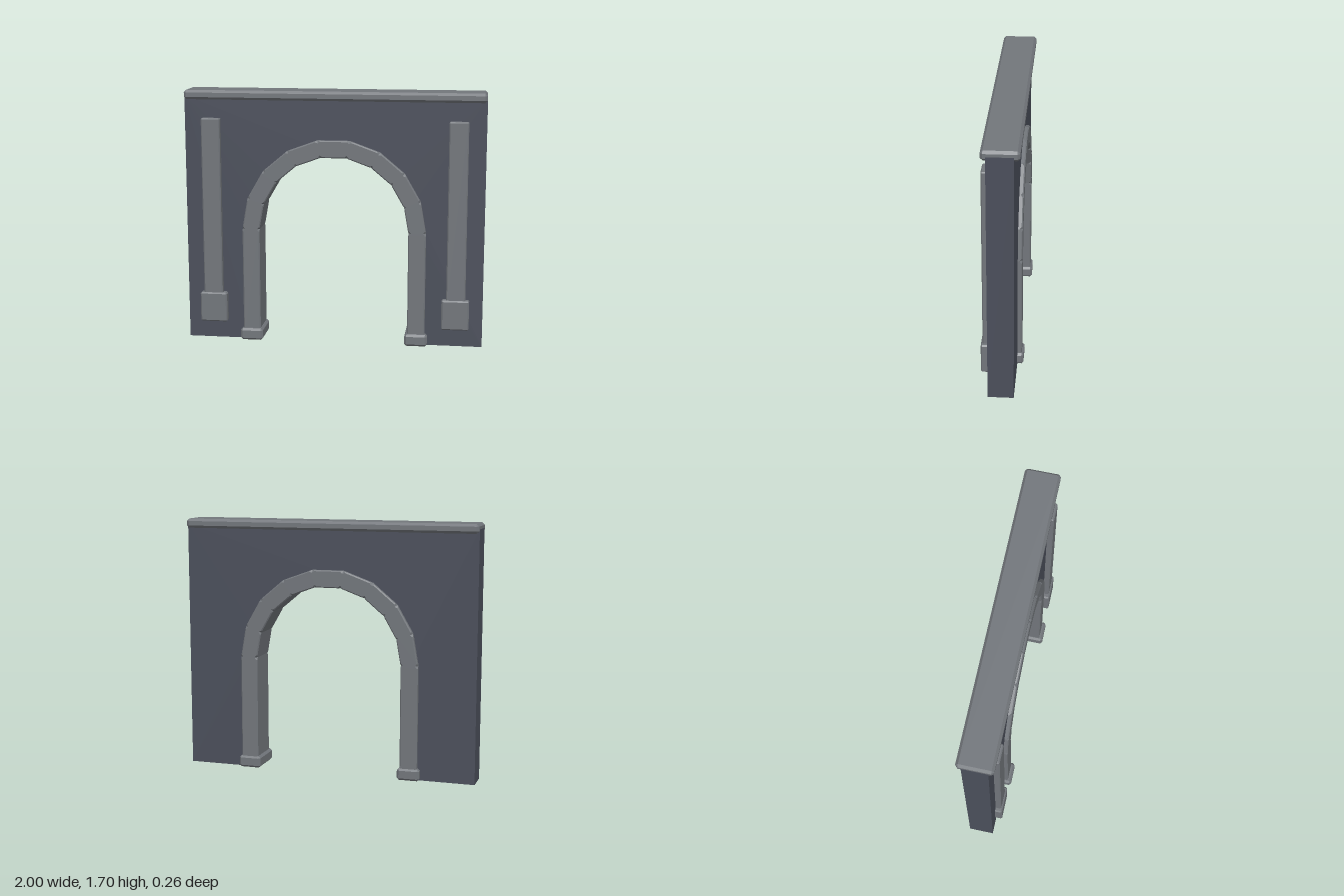
import * as THREE from 'three';
import { ConvexGeometry } from 'three/addons/geometries/ConvexGeometry.js';

const stone = new THREE.MeshStandardMaterial({ color: 0x72767b, flatShading: true });
const plaster = new THREE.MeshStandardMaterial({ color: 0x4b4f5b, flatShading: true });

const SPRING = 0.77;   // height where the arch begins
const R_IN = 0.5, R_OUT = 0.617, SEGMENTS = 9;
const Z_FRONT = 0.105, Z_BACK = -0.115;

// Box with chamfered edges, given by its min and max corners
function chamferBox(name, min, max, c) {
  const pts = [];
  const corner = (i, s, inset) => (s ? max[i] - inset : min[i] + inset);
  for (const sx of [0, 1]) for (const sy of [0, 1]) for (const sz of [0, 1]) {
    for (let flat = 0; flat < 3; flat++) {
      const inset = [c, c, c];
      inset[flat] = 0;
      pts.push(new THREE.Vector3(corner(0, sx, inset[0]), corner(1, sy, inset[1]), corner(2, sz, inset[2])));
    }
  }
  const mesh = new THREE.Mesh(new ConvexGeometry(pts), stone);
  mesh.name = name;
  return mesh;
}

// Arch stone between two joints; each joint is [inner point, outer point].
// The corners are cut deeper at the joints, leaving small notches.
function archStone(name, start, end) {
  const pts = [];
  const length = start[1].distanceTo(end[1]);
  const notch = 0.016 / length;
  for (const [t, c] of [[0, 0.018], [notch, 0.007], [1 - notch, 0.007], [1, 0.018]]) {
    const inner = start[0].clone().lerp(end[0], t);
    const outer = start[1].clone().lerp(end[1], t);
    const across = outer.clone().sub(inner).normalize();
    for (const [p, dir] of [[inner, 1], [outer, -1]]) {
      const inset = p.clone().addScaledVector(across, dir * c);
      for (const [z, s] of [[Z_FRONT, -1], [Z_BACK, 1]]) {
        pts.push(new THREE.Vector3(p.x, p.y, z + s * c));
        pts.push(new THREE.Vector3(inset.x, inset.y, z));
      }
    }
  }
  const mesh = new THREE.Mesh(new ConvexGeometry(pts), stone);
  mesh.name = name;
  return mesh;
}

const archPoint = (r, i) => {
  const a = (i / SEGMENTS) * Math.PI;
  return new THREE.Vector2(r * Math.cos(a), SPRING + r * Math.sin(a));
};

function createWall() {
  // Outline with the opening running down to the ground
  const r = (R_IN + R_OUT) / 2;
  const shape = new THREE.Shape();
  shape.moveTo(r, 0);
  shape.lineTo(1, 0);
  shape.lineTo(1, 1.665);
  shape.lineTo(-1, 1.665);
  shape.lineTo(-1, 0);
  shape.lineTo(-r, 0);
  for (let i = SEGMENTS; i >= 0; i--) {
    const p = archPoint(r, i);
    shape.lineTo(p.x, p.y);
  }
  const geo = new THREE.ExtrudeGeometry(shape, { depth: 0.165, bevelEnabled: false });
  geo.translate(0, 0, -0.087);
  const wall = new THREE.Mesh(geo, plaster);
  wall.name = 'wall';
  return wall;
}

export function createModel() {
  const model = new THREE.Group();
  model.name = 'archwayWall';
  model.add(createWall());

  // Coping along the top
  model.add(chamferBox('coping', [-0.999, 1.638, -0.122], [0.999, 1.7, 0.11], 0.016));

  // Curved part of the arch surround
  const arch = new THREE.Group();
  arch.name = 'archSurround';
  const joint = (i) => [archPoint(R_IN, i), archPoint(R_OUT, i)];
  for (let i = 0; i < SEGMENTS; i++) arch.add(archStone('archStone', joint(i), joint(i + 1)));
  model.add(arch);

  // Parts repeated on both sides
  for (const [side, s] of [['left', 1], ['right', -1]]) {
    const spanBox = (name, x0, x1, y0, y1, z0, z1, c) =>
      chamferBox(side + name, [Math.min(s * x0, s * x1), y0, z0], [Math.max(s * x0, s * x1), y1, z1], c);

    // Straight leg below the arch
    const leg = archStone(side + 'ArchLeg',
      [new THREE.Vector2(s * R_IN, 0.01), new THREE.Vector2(s * R_OUT, 0.01)],
      [new THREE.Vector2(s * R_IN, SPRING), new THREE.Vector2(s * R_OUT, SPRING)]);
    model.add(leg);

    // Foot block under the leg
    model.add(spanBox('ArchFoot', 0.483, 0.635, 0, 0.08, -0.127, 0.13, 0.014));

    // Pilaster strip and its plinth on the front face
    model.add(spanBox('Pilaster', 0.758, 0.885, 0.3, 1.515, 0.07, 0.117, 0.007));
    model.add(spanBox('PilasterPlinth', 0.727, 0.911, 0.122, 0.325, 0.07, 0.127, 0.009));
  }
  return model;
}
